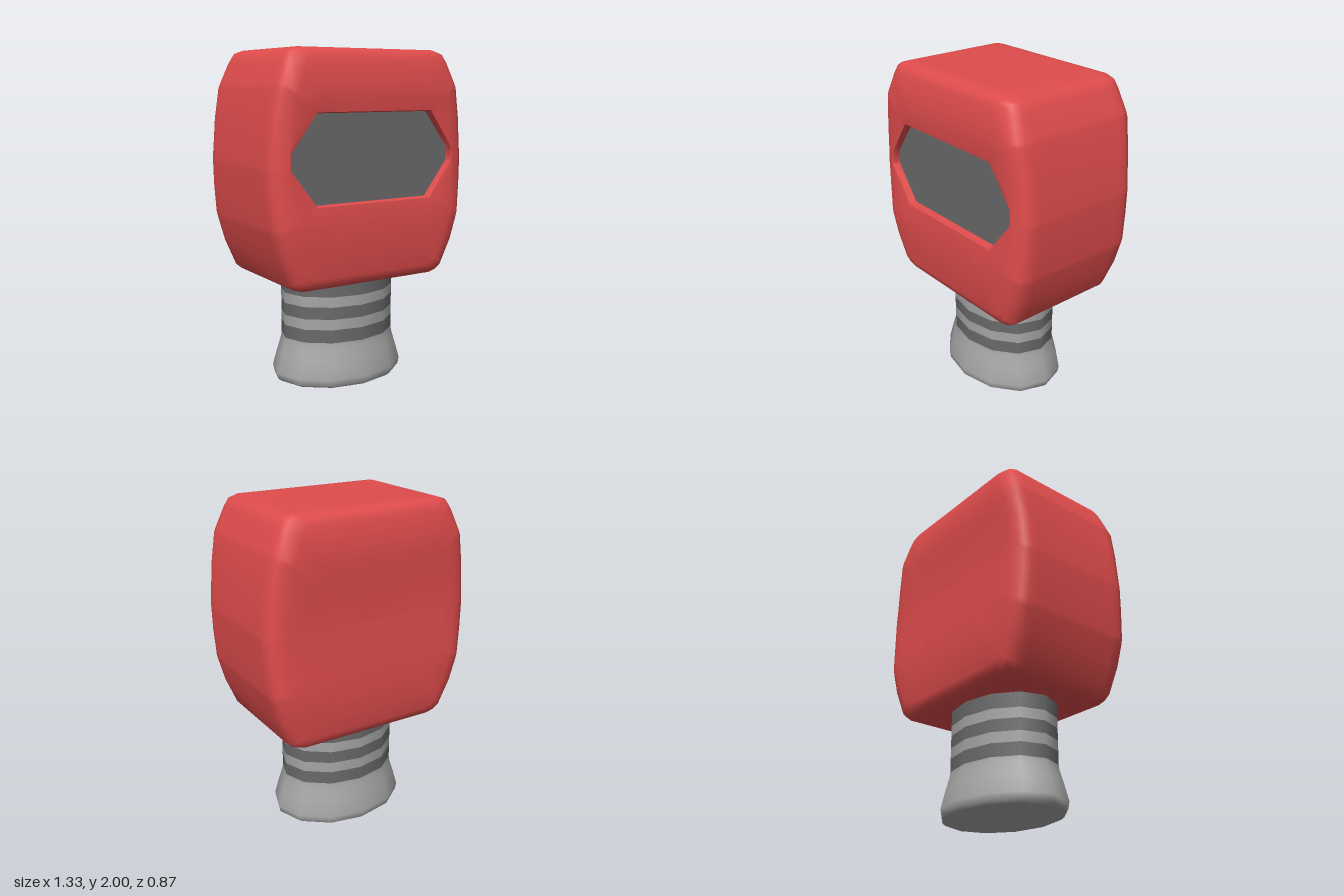
import * as THREE from 'three';

const red = new THREE.MeshStandardMaterial({ color: 0xe04c4c });
const darkGrey = new THREE.MeshStandardMaterial({ color: 0x6a6a6a });
const lightGrey = new THREE.MeshStandardMaterial({ color: 0xa6a6a6 });
red.name = 'red';
darkGrey.name = 'dark grey';
lightGrey.name = 'light grey';

const CY = 1.36; // height of the head's middle

// Right half of each outline, bottom to top, mirrored to the left
const mirrorOutline = half => [...half, ...half.map(([x, y]) => [-x, y]).reverse()];
const headOutline = mirrorOutline([
  [0.2, 0.645], [0.45, 0.645], [0.5, 0.66], [0.535, 0.69], [0.6, 0.85], [0.645, 1.02], [0.662, 1.2], [0.667, 1.36],
  [0.645, 1.6], [0.612, 1.78], [0.55, 1.93], [0.52, 1.98], [0.46, 2], [0.2, 2],
]);
const visorOutline = mirrorOutline([[0.39, 1.13], [0.552, 1.34], [0.552, 1.43], [0.39, 1.65]]);

// Half depth of the head by height: slightly waisted in the middle
const depthTable = [[0.645, 0.4], [0.72, 0.412], [0.85, 0.425], [1, 0.435], [1.2, 0.423], [1.4, 0.419],
  [1.6, 0.424], [1.8, 0.436], [1.92, 0.414], [2, 0.4]];
function depthAt(y) {
  for (let i = 1; i < depthTable.length; i++) {
    const [y0, d0] = depthTable[i - 1], [y1, d1] = depthTable[i];
    if (y <= y1) return d0 + (d1 - d0) * Math.max(0, (y - y0) / (y1 - y0));
  }
  return 0.4;
}

// Where a ray from the head's middle meets an outline
function hit(outline, angle) {
  const dx = Math.cos(angle), dy = Math.sin(angle);
  for (let i = 0; i < outline.length; i++) {
    const [ax, ay] = outline[i], [bx, by] = outline[(i + 1) % outline.length];
    const ex = bx - ax, ey = by - ay, den = dx * ey - dy * ex;
    if (Math.abs(den) < 1e-9) continue;
    const t = (ax * ey - (ay - CY) * ex) / den;
    const u = (ax * dy - (ay - CY) * dx) / den;
    if (t > 0 && u > -1e-6 && u < 1 + 1e-6) return [dx * t, CY + dy * t];
  }
  return [0, CY];
}

// Smooth skin through rings of equal point count
function skin(rings) {
  const n = rings[0].length, index = [];
  for (let r = 0; r < rings.length - 1; r++) {
    for (let i = 0; i < n; i++) {
      const a = r * n + i, b = r * n + (i + 1) % n;
      index.push(a, b, b + n, a, b + n, a + n);
    }
  }
  const g = new THREE.BufferGeometry();
  g.setAttribute('position', new THREE.Float32BufferAttribute(rings.flat(2), 3));
  g.setIndex(index);
  g.computeVertexNormals();
  return g;
}

export function createModel() {
  const model = new THREE.Group();
  const add = (name, geometry, material, parent = model) => {
    const mesh = new THREE.Mesh(geometry, material);
    mesh.name = name;
    parent.add(mesh);
    return mesh;
  };

  // Matching points on the head and visor outlines
  const angles = [...headOutline, ...visorOutline].map(([x, y]) => Math.atan2(y - CY, x))
    .sort((a, b) => a - b).filter((a, i, all) => i === 0 || a - all[i - 1] > 1e-4);
  const outer = angles.map(a => hit(headOutline, a));
  const rim = angles.map(a => hit(visorOutline, a));

  // Outline drawn in by a across and b vertically, at k times the depth
  const ring = (a, b, k) => outer.map(([px, py]) => {
    const x = px * (1 - a), y = CY + (py - CY) * (1 - b);
    return [x, y, k * depthAt(y)];
  });
  const edge = [[0, 0, 0.7], [0, 0, 0.82], [0.025, 0.012, 0.92], [0.075, 0.04, 0.97], [0.15, 0.1, 1]];
  const backRings = [[1, 1, 1], [0.7, 0.7, 1], [0.45, 0.45, 1], [0.28, 0.28, 1], ...edge.slice().reverse()]
    .map(([a, b, k]) => ring(a, b, -k));
  const frontRings = edge.map(([a, b, k]) => ring(a, b, k));
  const rimRing = rim.map(([x, y]) => [x, y, depthAt(y) - 0.004]);
  const last = frontRings[frontRings.length - 1];
  const blend = t => last.map((p, i) => {
    const x = p[0] + (rimRing[i][0] - p[0]) * t, y = p[1] + (rimRing[i][1] - p[1]) * t;
    return [x, y, depthAt(y)];
  });
  add('head', skin([...backRings, ...frontRings, blend(0.4), blend(0.75), rimRing]), red);

  // Recess and dark visor panel
  const visorZ = 0.375;
  const floor = rim.map(([x, y]) => [x * 0.99, CY + (y - CY) * 0.975, visorZ]);
  add('visorRecess', skin([rimRing, floor]), red);
  const panel = new THREE.Shape(visorOutline.map(([x, y]) => new THREE.Vector2(x, y)));
  add('visor', new THREE.ShapeGeometry(panel), darkGrey).position.z = visorZ;

  // Oval neck with alternating bands
  const neck = new THREE.Group();
  neck.name = 'neck';
  neck.scale.z = 0.765;
  model.add(neck);
  const bandEdges = [0.27, 0.35, 0.415, 0.49, 0.553, 0.67];
  for (let i = 0; i < bandEdges.length - 1; i++) {
    const h = bandEdges[i + 1] - bandEdges[i];
    const band = new THREE.CylinderGeometry(0.37, 0.37, h, 12, 1, true);
    band.rotateY(Math.PI / 2);
    add('neckBand', band, i % 2 ? lightGrey : darkGrey, neck).position.y = bandEdges[i] + h / 2;
  }

  // Flared base, closed underneath
  const profile = [[0, 0.012], [0.36, 0.012], [0.4, 0], [0.422, 0.015], [0.43, 0.055], [0.4, 0.16], [0.374, 0.24], [0.37, 0.27]];
  const base = new THREE.LatheGeometry(profile.map(([x, y]) => new THREE.Vector2(x, y)), 12);
  add('base', base, lightGrey, neck);

  return model;
}
